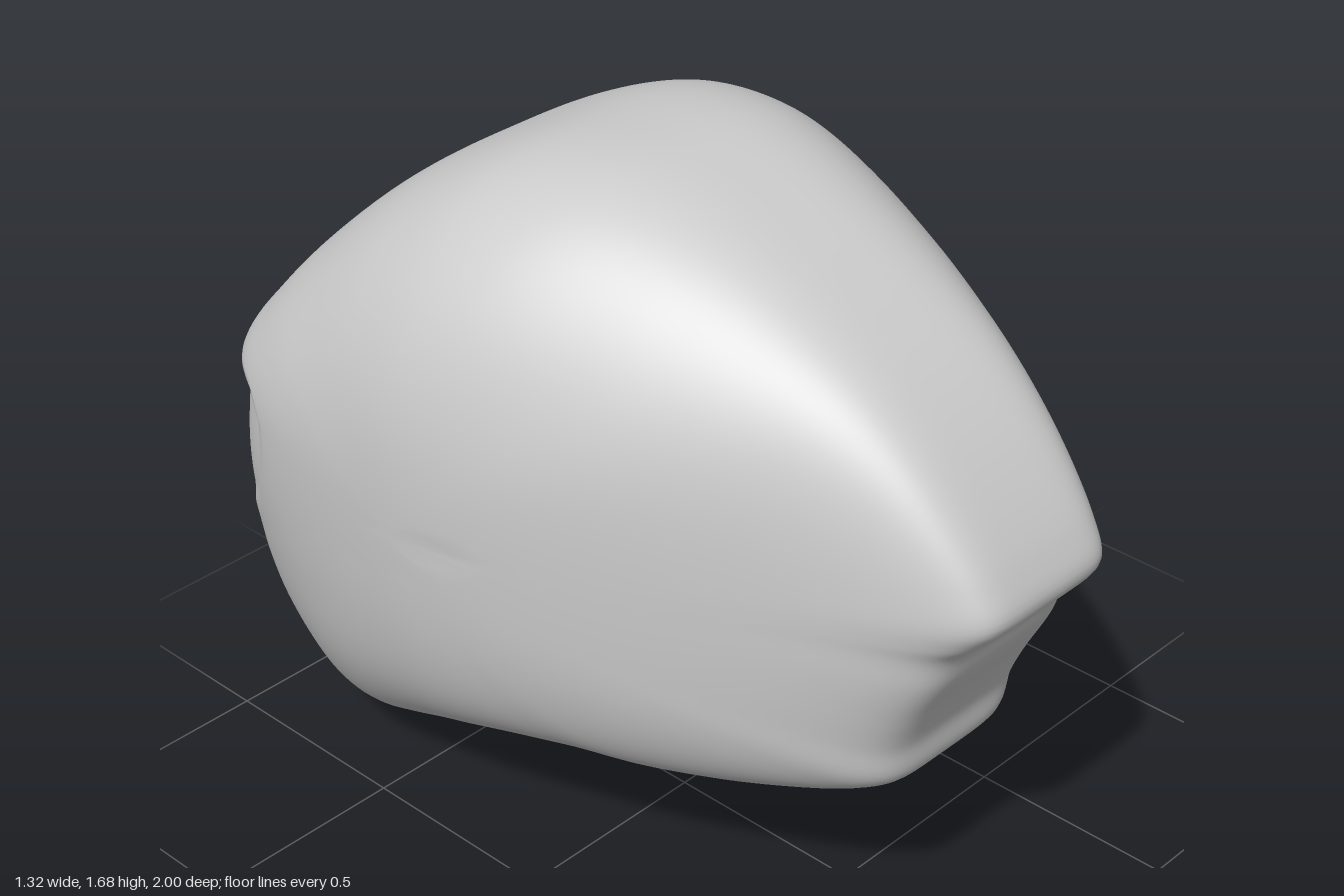
import * as THREE from 'three';
import { mergeVertices } from 'three/addons/utils/BufferGeometryUtils.js';

const smooth = (a, b, v) => {
  const t = Math.min(1, Math.max(0, (v - a) / (b - a)));
  return t * t * (3 - 2 * t);
};
const bump = (v, width) => Math.exp(-((v / width) ** 2));

// Smooth function through values spaced evenly from a to b
function evenCurve(a, b, values) {
  const curve = new THREE.SplineCurve(values.map((v, i) => new THREE.Vector2(i, v)));
  return (v) => curve.getPoint(Math.min(1, Math.max(0, (v - a) / (b - a)))).y;
}

// Side outline as (z, y): nose, crown, back panel, rear lobe, underside, chin
const outline = [
  [1, 1.0], [0.97, 1.08], [0.85, 1.24], [0.7, 1.38], [0.5, 1.51], [0.3, 1.605],
  [0.1, 1.665], [-0.05, 1.68], [-0.25, 1.655], [-0.45, 1.57], [-0.6, 1.47],
  [-0.75, 1.33], [-0.85, 1.21], [-0.94, 1.08], [-0.955, 0.95], [-0.975, 0.75],
  [-0.99, 0.55], [-1, 0.42], [-0.98, 0.25], [-0.92, 0.1], [-0.85, 0.02],
  [-0.76, 0], [-0.65, 0.025], [-0.5, 0.1], [-0.3, 0.2], [-0.1, 0.275],
  [0.1, 0.315], [0.3, 0.33], [0.5, 0.375], [0.7, 0.455], [0.77, 0.51],
  [0.785, 0.6], [0.82, 0.69], [0.88, 0.81], [0.91, 0.89], [0.96, 0.94],
];

// Half width by z, and how it narrows towards the crown and the base by y
const halfWidth = evenCurve(-1, 1,
  [0.58, 0.615, 0.645, 0.66, 0.657, 0.622, 0.555, 0.465, 0.372, 0.3, 0.255]);
const narrowing = evenCurve(0, 1.8, [0.66, 0.79, 0.89, 0.95, 0.985, 1, 0.99, 0.95, 0.88, 0.8]);

// Shallow panel pressed into the back, with rounded ends on the sides
function pressPanel(p) {
  const k = (Math.abs(p.x) / 0.6) ** 4;
  const top = 1.085 - 0.05 * k;
  const low = 0.56 + 0.16 * k;
  const end = -0.69 - 0.08 * smooth(0.92, 0.65, p.y) - 0.04 * smooth(0.96, 1.04, p.y);
  const m = smooth(top, top - 0.02, p.y) * smooth(end, end - 0.05, p.z) *
    smooth(low, low + 0.06, p.y) * (0.35 + 0.65 * smooth(low, low + 0.4, p.y));
  p.x *= 1 - 0.025 * m;
  p.z += 0.025 * m;
}

// Oval socket in the underside
function pressSocket(p) {
  if (p.y > 0.5) return;
  const e = Math.hypot(p.x / 0.18, (p.z + 0.1) / 0.24);
  p.y += 0.28 * smooth(1.1, 0.5, e);
}

function shellGeometry() {
  const around = 360, across = 120, cz = -0.25, cy = 0.9;
  const curve = new THREE.CatmullRomCurve3(
    outline.map(([z, y]) => new THREE.Vector3(0, y, z)), true, 'centripetal');
  curve.arcLengthDivisions = 1000;
  const rim = curve.getSpacedPoints(around);
  const positions = [], index = [], p = new THREE.Vector3();
  for (let i = 0; i <= around; i++) {
    const q = rim[i % around];
    const angle = Math.atan2(q.y - cy, q.z - cz);
    // squarer across the face, belly and back, rounder over the crown
    const n = 3.2 + 4 * bump(angle - 0.03, 0.5) + 1.3 * bump(angle + 1.4, 0.8) +
      2.3 * bump(Math.abs(angle) - Math.PI, 0.6);
    for (let j = 0; j <= across; j++) {
      const u = (2 * j) / across - 1, s = Math.abs(u);
      const a = (Math.PI / 2) * s * s * (3 - 2 * s);
      const r = s === 1 ? 0 : Math.cos(a) ** (2 / n);
      p.set(0, cy + (q.y - cy) * r, cz + (q.z - cz) * r);
      p.x = Math.sign(u) * halfWidth(p.z) * narrowing(p.y) * Math.sin(a) ** (2 / n);
      pressPanel(p);
      pressSocket(p);
      positions.push(p.x, p.y, p.z);
      if (i < around && j < across) {
        // the first and last steps close into the side poles
        const k = i * (across + 1) + j, next = k + across + 1;
        if (j > 0) index.push(k, k + 1, next);
        if (j < across - 1) index.push(k + 1, next + 1, next);
      }
    }
  }
  const raw = new THREE.BufferGeometry();
  raw.setAttribute('position', new THREE.Float32BufferAttribute(positions, 3));
  raw.setIndex(index);
  const geometry = mergeVertices(raw, 1e-5);
  geometry.computeVertexNormals();
  return geometry;
}

export function createModel() {
  const group = new THREE.Group();
  group.name = 'headShell';
  const shell = new THREE.Mesh(shellGeometry(), new THREE.MeshStandardMaterial({ color: 0xcccccc }));
  shell.name = 'shell';
  group.add(shell);
  return group;
}
